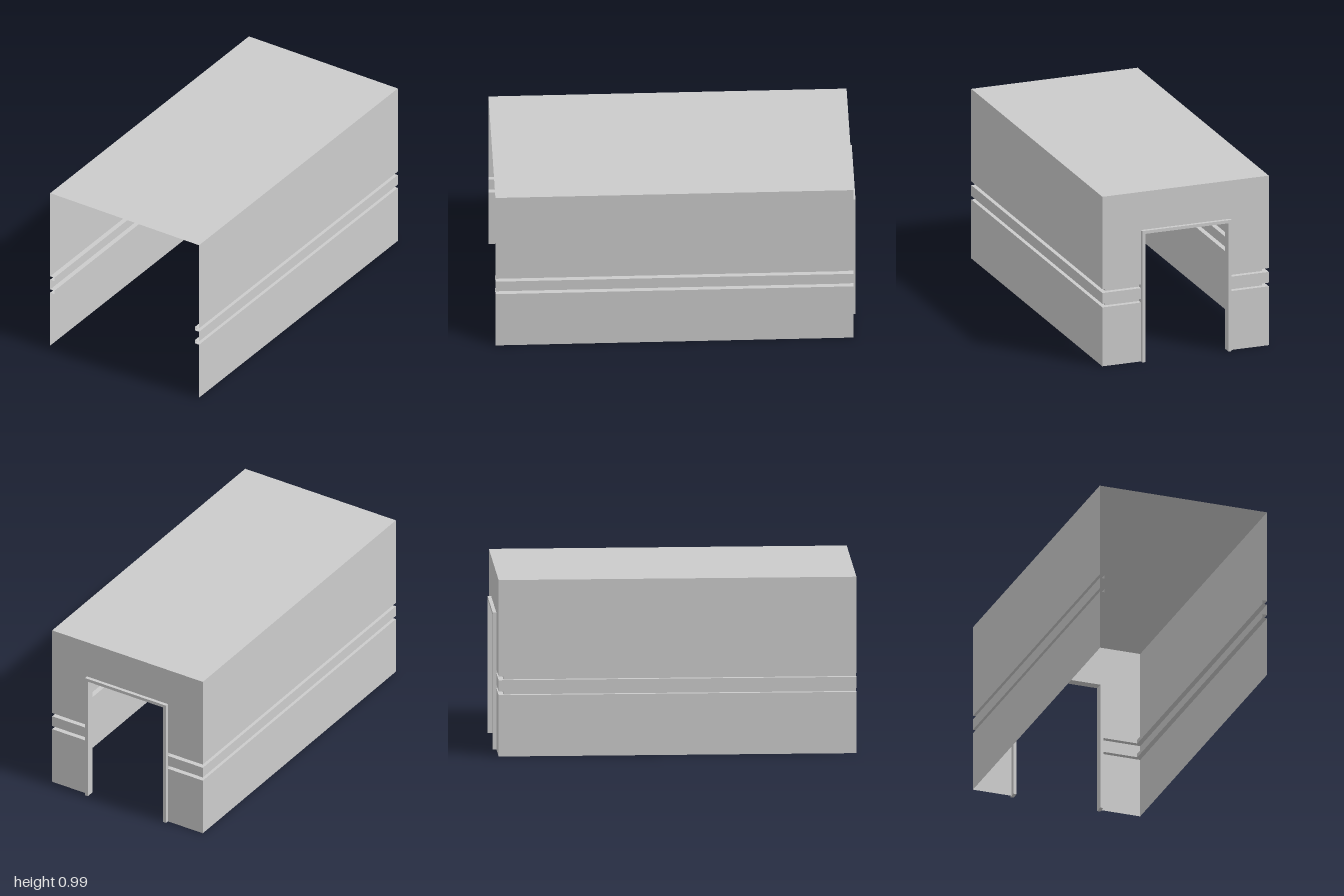
import * as THREE from 'three';

const HX = 0.494, H = 0.99, FRONT = 1, BACK = -0.98;   // shell extents
const DOOR = 0.265, DOOR_H = 0.767, TRIM = 0.018;      // doorway, outer edge of its trim
const GROOVE = 0.028;

// Wall section from floor to roof: [inset, height]
const PROFILE = [
  [0, 0], [0, 0.344], [GROOVE, 0.344], [GROOVE, 0.365], [0, 0.365],
  [0, 0.428], [GROOVE, 0.428], [GROOVE, 0.45], [0, 0.45], [0, DOOR_H], [0, H],
];

const material = new THREE.MeshStandardMaterial({ color: 0xcccccc, side: THREE.DoubleSide });

// Sweeps the section along a side and round the back corner to the doorway
function wallGeometry(side) {
  const stations = [
    (d) => [HX - d, FRONT],
    (d) => [HX - d, BACK + d],
    (d) => [DOOR, BACK + d],
  ];
  const positions = [];
  for (let i = 0; i < stations.length - 1; i++) {
    for (let j = 0; j < PROFILE.length - 1; j++) {
      const corner = (s, [d, y]) => {
        const [x, z] = stations[s](d);
        return [side * x, y, z];
      };
      const a = corner(i, PROFILE[j]), b = corner(i + 1, PROFILE[j]);
      const c = corner(i + 1, PROFILE[j + 1]), e = corner(i, PROFILE[j + 1]);
      const order = side > 0 ? [a, b, c, a, c, e] : [a, c, b, a, e, c];
      positions.push(...order.flat());
    }
  }
  const geometry = new THREE.BufferGeometry();
  geometry.setAttribute('position', new THREE.Float32BufferAttribute(positions, 3));
  geometry.computeVertexNormals();
  return geometry;
}

export function createModel() {
  const group = new THREE.Group();
  group.name = 'corridor';
  const add = (name, geometry) => {
    const mesh = new THREE.Mesh(geometry, material);
    mesh.name = name;
    group.add(mesh);
    return mesh;
  };

  // Grooved walls, mirrored
  add('leftWall', wallGeometry(1));
  add('rightWall', wallGeometry(-1));

  // Flat roof
  const roof = add('roof', new THREE.PlaneGeometry(2 * HX, FRONT - BACK).rotateX(-Math.PI / 2));
  roof.position.set(0, H, (FRONT + BACK) / 2);

  // Back wall above the doorway
  const header = add('doorHeader', new THREE.PlaneGeometry(2 * DOOR, H - DOOR_H).rotateY(Math.PI));
  header.position.set(0, (H + DOOR_H) / 2, BACK);

  // Doorway trim: two jambs and a lintel in one piece
  const inner = DOOR - TRIM, top = DOOR_H - TRIM;
  const outline = [
    [-DOOR, 0], [-inner, 0], [-inner, top], [inner, top],
    [inner, 0], [DOOR, 0], [DOOR, DOOR_H], [-DOOR, DOOR_H],
  ].map(([x, y]) => new THREE.Vector2(x, y));
  const frame = add('doorFrame', new THREE.ExtrudeGeometry(new THREE.Shape(outline), {
    depth: 0.05, bevelEnabled: false,
  }));
  frame.position.z = -1;

  return group;
}
